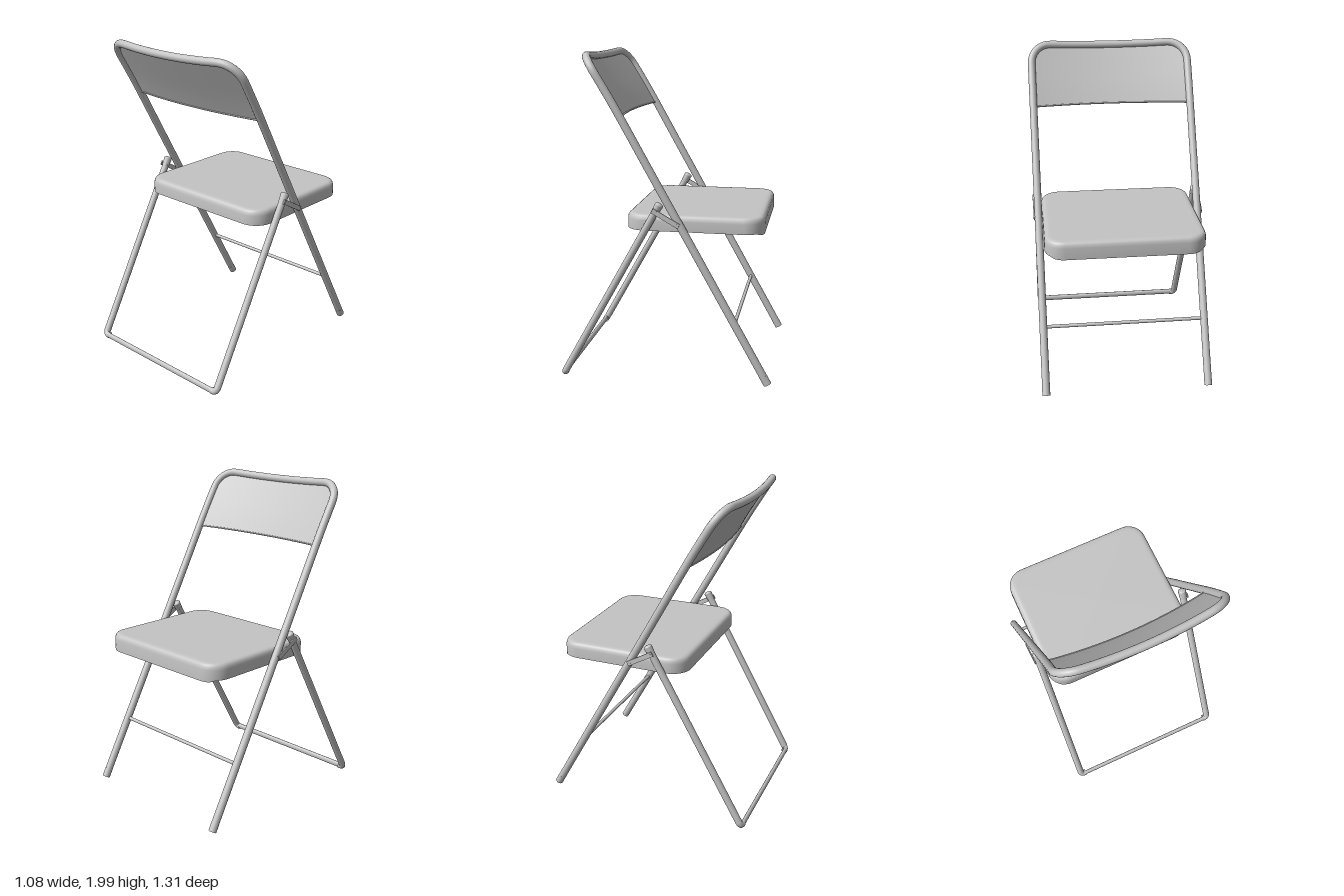
import * as THREE from 'three';
import { toCreasedNormals } from 'three/addons/utils/BufferGeometryUtils.js';

const HALF = 0.507;      // half spacing of the tube centres
const TOP = 1.988;       // height of the top rail
const CORNER = 0.125;    // bend radius of the top corners
const RISE = CORNER * 0.873;  // height of that bend on the leaning plane
const PANEL_LOW = 1.628;

// Point on the leaning back plane; it bows backwards towards the middle and leans more near the top.
function backPoint(x, y) {
  const bow = (0.036 + 0.015 * (y - PANEL_LOW)) * (1 - (x / HALF) ** 2);
  const lean = 0.05 * Math.max(0, y - 1.74);
  return new THREE.Vector3(x, y - 0.489 * bow, -0.63 + (y - 0.06) * 0.56 + lean + 0.873 * bow);
}

// Height of the bent rail at a given x.
function railHeight(x) {
  const over = Math.max(0, Math.abs(x) - (HALF - CORNER)) / CORNER;
  return TOP - RISE + RISE * Math.sqrt(Math.max(0, 1 - over ** 2));
}

// Lower panel edge, raised in the plane so that it stays level.
const panelLow = (x) => PANEL_LOW + 0.0175 * (1 - (x / HALF) ** 2);

function roundedRect(inset, steps = 8) {
  const hx = 0.483 - inset, hz = 0.415 - inset, r = 0.118 - inset;
  const pts = [];
  [[1, 1], [-1, 1], [-1, -1], [1, -1]].forEach(([sx, sz], q) => {
    for (let i = 0; i <= steps; i++) {
      const a = (q + i / steps) * Math.PI / 2;
      pts.push([sx * (hx - r) + r * Math.cos(a), sz * (hz - r) + r * Math.sin(a) - 0.175]);
    }
  });
  return pts;
}

// Hollow seat pan: rounded rectangles stacked from the underside, round the rim, to the top.
function seatGeometry() {
  const rings = [[0.055, 1.042], [0.04, 1.042], [0.022, 1.034], [0.012, 1.015], [0.01, 0.96],
    [0, 0.96], [0, 1.02], [0.003, 1.036], [0.01, 1.048], [0.02, 1.054], [0.034, 1.056], [0.05, 1.056]];
  const pos = [], index = [];
  const n = roundedRect(0).length;
  for (const [inset, y] of rings) {
    for (const [x, z] of roundedRect(inset)) {
      const lip = y < 0.97 ? 0.012 * THREE.MathUtils.smoothstep(-z, 0.545, 0.58) : 0;
      pos.push(x, y - lip, z);
    }
  }
  for (let k = 0; k < rings.length - 1; k++) {
    for (let i = 0; i < n; i++) {
      const a = k * n + i, b = k * n + (i + 1) % n;
      index.push(a, a + n, b, b, a + n, b + n);
    }
  }
  const under = pos.length / 3, over = under + 1, last = (rings.length - 1) * n;
  pos.push(0, 1.042, -0.175, 0, 1.056, -0.175);
  for (let i = 0; i < n; i++) {
    const j = (i + 1) % n;
    index.push(under, i, j, over, last + j, last + i);
  }
  const g = new THREE.BufferGeometry();
  g.setAttribute('position', new THREE.Float32BufferAttribute(pos, 3));
  g.setIndex(index);
  return toCreasedNormals(g, 0.7);
}

// Curved back panel, fitted under the bent rail.
function panelGeometry() {
  const g = new THREE.PlaneGeometry(2 * HALF - 0.02, 1, 40, 6);
  const p = g.attributes.position;
  for (let i = 0; i < p.count; i++) {
    const x = p.getX(i), t = p.getY(i) + 0.5, low = panelLow(x);
    const v = backPoint(x, low + t * (railHeight(x) - low));
    p.setXYZ(i, v.x, v.y, v.z);
  }
  g.computeVertexNormals();
  return g;
}

export function createModel() {
  const group = new THREE.Group();
  const metal = new THREE.MeshStandardMaterial({ color: 0xc4c4c4, side: THREE.DoubleSide });
  metal.name = 'grey metal';

  const add = (name, geometry) => {
    const mesh = new THREE.Mesh(geometry, metal);
    mesh.name = name;
    group.add(mesh);
    return mesh;
  };
  const tube = (name, points, r, segments) =>
    add(name, new THREE.TubeGeometry(new THREE.CatmullRomCurve3(points, false, 'centripetal'), segments, r, 16));
  const rod = (name, a, b, r0, r1 = r0) => {
    const mesh = add(name, new THREE.CylinderGeometry(r1, r0, a.distanceTo(b), 16));
    mesh.position.copy(a).add(b).multiplyScalar(0.5);
    mesh.quaternion.setFromUnitVectors(new THREE.Vector3(0, 1, 0), b.clone().sub(a).normalize());
    return mesh;
  };
  const V = (x, y, z) => new THREE.Vector3(x, y, z);

  // Long frame: two straight legs joined by a bent, bowed top rail
  const rail = [];
  const bend = (side, t) => {
    const a = t * Math.PI / 2;
    return backPoint(side * (HALF - CORNER + CORNER * Math.cos(a)), TOP - RISE + RISE * Math.sin(a));
  };
  const legHeights = [0.05, 0.7, 1.3, 1.7, 1.82];
  for (const y of legHeights) rail.push(backPoint(HALF, y));
  for (let i = 0; i <= 8; i++) rail.push(bend(1, i / 8));
  for (let i = 1; i < 8; i++) rail.push(backPoint((HALF - CORNER) * (1 - i / 4), TOP));
  for (let i = 8; i >= 0; i--) rail.push(bend(-1, i / 8));
  for (const y of legHeights.reverse()) rail.push(backPoint(-HALF, y));
  tube('longFrame', rail, 0.024, 220);

  // Back panel with a thin hem along its lower edge
  add('backPanel', panelGeometry());
  const hem = [];
  for (let i = 0; i <= 12; i++) {
    const x = 0.49 * (i / 6 - 1);
    hem.push(backPoint(x, panelLow(x) + 0.003));
  }
  tube('backPanelHem', hem, 0.005, 40);

  add('seat', seatGeometry());

  // Short frame: two straight legs, tight corners and a flattened floor bar
  const short = (x, t) => V(x, 0.03 + t * 1.08, 0.63 - t * 0.6);
  const floorBar = rod('floorBar', V(-0.485, 0.03, 0.634), V(0.485, 0.03, 0.634), 0.019);
  floorBar.scale.z = 0.7;

  rod('crossRod', backPoint(-HALF, 0.415), backPoint(HALF, 0.415), 0.011);

  for (const s of [1, -1]) {
    rod('shortLeg', short(s * HALF, 0.02), short(s * HALF, 0.975), 0.022);
    tube('shortFrameCorner', [short(s * HALF, 0.03), short(s * HALF, 0.02), short(s * (HALF - 0.007), 0.006),
      short(s * (HALF - 0.022), 0), short(s * (HALF - 0.033), 0)], 0.021, 16);

    // Feet and flared ends of the short frame
    rod('foot', backPoint(s * HALF, 0.05), backPoint(s * HALF, 0.1), 0.0245);
    rod('shortFrameEnd', short(s * HALF, 0.965), short(s * HALF, 1.012), 0.022, 0.026);
    const cap = add('shortFrameCap', new THREE.SphereGeometry(0.026, 16, 10));
    cap.position.copy(short(s * HALF, 1.012));
    cap.scale.y = 0.5;
    cap.rotation.x = -0.507;

    // Folding link with its two pivots
    const a = V(s * 0.533, 1.095, 0.06), b = V(s * 0.533, 1.005, -0.1);
    const link = add('foldingLink', new THREE.BoxGeometry(0.008, 0.03, a.distanceTo(b)));
    link.position.copy(a).add(b).multiplyScalar(0.5);
    link.rotation.x = -Math.atan2(a.y - b.y, a.z - b.z);
    rod('upperPivot', V(s * 0.485, 1.085, 0.042), V(s * 0.538, 1.085, 0.042), 0.011);
    rod('lowerPivot', V(s * 0.475, 1.01, -0.09), V(s * 0.538, 1.01, -0.09), 0.011);
  }
  return group;
}
